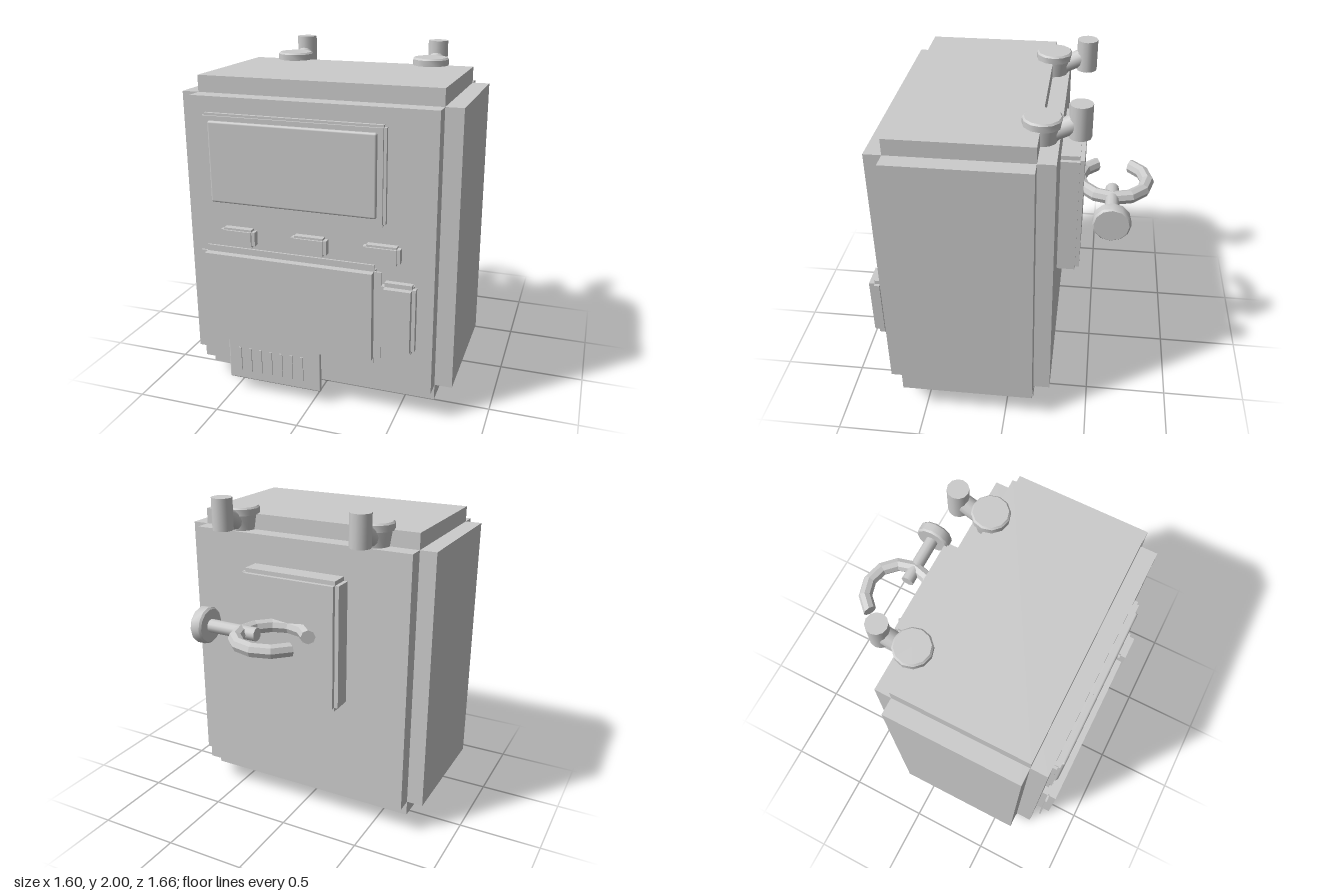
import * as THREE from 'three';
import { toCreasedNormals } from 'three/addons/utils/BufferGeometryUtils.js';
import { RoundedBoxGeometry } from 'three/addons/geometries/RoundedBoxGeometry.js';

const grey = new THREE.MeshStandardMaterial({ color: 0xcccccc });
const greyFlat = new THREE.MeshStandardMaterial({ color: 0xcccccc, flatShading: true });

function add(parent, name, geometry, x = 0, y = 0, z = 0, material = grey) {
  const mesh = new THREE.Mesh(geometry, material);
  mesh.name = name;
  mesh.position.set(x, y, z);
  parent.add(mesh);
  return mesh;
}

// Box with square notches along all edges: three crossed slabs.
// min/max are the outer limits, inset is the notch size on each axis.
function notchedBox(parent, name, min, max, inset) {
  const group = new THREE.Group();
  group.name = name;
  const size = max.map((v, i) => v - min[i]);
  group.position.set(...max.map((v, i) => (v + min[i]) / 2));
  for (let axis = 0; axis < 3; axis++) {
    const s = size.map((v, i) => (i === axis ? v : v - 2 * inset[i]));
    add(group, name + 'Slab', new THREE.BoxGeometry(...s));
  }
  parent.add(group);
  return group;
}

// Turned part with creased edges, from [radius, height] pairs, bottom to top
function turned(points, sides = 12) {
  const profile = points.map(([r, y]) => new THREE.Vector2(r, y));
  return toCreasedNormals(new THREE.LatheGeometry(profile, sides), 0.6);
}

function createTopKnob(side) {
  const group = new THREE.Group();
  group.name = side > 0 ? 'leftTopKnob' : 'rightTopKnob';
  group.position.set(side * 0.44, 0, -0.175);
  add(group, 'knobCap', turned([
    [0, 1.78], [0.085, 1.78], [0.1, 1.87], [0.11, 1.872], [0.11, 1.91], [0.1, 1.92], [0, 1.92],
  ]));
  // Sloping arm from the cap to the upright post
  const arm = add(group, 'knobArm', new THREE.CylinderGeometry(0.052, 0.052, 0.19, 12), 0, 1.86, -0.115);
  arm.rotation.x = -Math.PI / 2 + 0.45;
  add(group, 'knobPost', new THREE.CylinderGeometry(0.062, 0.062, 0.19, 12), 0, 1.905, -0.2);
  return group;
}

// Open ring in the horizontal plane, its gap facing -x
function createHook() {
  const half = THREE.MathUtils.degToRad(150);
  const group = new THREE.Group();
  group.name = 'hook';
  group.position.set(0, 1.285, -0.58);
  const ring = add(group, 'hookRing', new THREE.TorusGeometry(0.204, 0.042, 8, 10, 2 * half), 0, 0, 0, greyFlat);
  ring.rotation.set(Math.PI / 2, 0, -half);
  for (const s of [-1, 1]) {
    const end = add(group, 'hookEnd', new THREE.CircleGeometry(0.042, 8),
      0.204 * Math.cos(half), 0, s * 0.204 * Math.sin(half), greyFlat);
    // Face along the ring's tangent, out into the gap
    end.rotation.y = Math.atan2(-Math.sin(half), s * Math.cos(half));
  }
  // Clamping screw with a round grip
  const rod = add(group, 'screwRod', new THREE.CylinderGeometry(0.04, 0.04, 0.33, 12), 0.265, 0, 0.005);
  rod.rotation.z = -Math.PI / 2;
  const grip = add(group, 'screwGrip', turned([
    [0, 0], [0.1, 0], [0.11, 0.012], [0.11, 0.063], [0.1, 0.075], [0, 0.075],
  ]), 0.416, 0, 0.005);
  grip.rotation.z = -Math.PI / 2;
  return group;
}

export function createModel() {
  const model = new THREE.Group();
  model.name = 'deviceBox';

  // Body
  notchedBox(model, 'body', [-0.8, 0.085, -0.27], [0.8, 1.875, 0.73], [0.1, 0.095, 0.1]);

  // Screen
  notchedBox(model, 'screenFrame', [-0.624, 1.145, 0.715], [0.432, 1.692, 0.763], [0.016, 0.013, 0.012]);
  add(model, 'screen', new RoundedBoxGeometry(0.963, 0.462, 0.05, 2, 0.012), -0.096, 1.422, 0.753);

  // Row of buttons
  for (const x of [-0.426, 0, 0.415]) {
    notchedBox(model, 'button', [x - 0.104, 0.94, 0.725], [x + 0.104, 1.045, 0.782], [0.02, 0.012, 0.01]);
  }

  // Lower front panels
  notchedBox(model, 'lowerPanel', [-0.66, 0.34, 0.725], [0.42, 0.933, 0.82], [0.042, 0.037, 0.042]);
  notchedBox(model, 'sidePanel', [0.424, 0.44, 0.73], [0.615, 0.85, 0.833], [0.02, 0.024, 0.035]);

  // Vent plate with upright bars
  add(model, 'ventPlate', new RoundedBoxGeometry(0.584, 0.275, 0.022, 2, 0.009), -0.239, 0.213, 0.743);
  for (let i = 0; i < 7; i++) {
    add(model, 'ventBar', new THREE.BoxGeometry(0.016, 0.152, 0.02), -0.455 + i * 0.0655, 0.21, 0.751);
  }

  // Foot knob underneath
  add(model, 'footKnob', turned([
    [0, 0], [0.075, 0], [0.086, 0.012], [0.086, 0.065], [0.078, 0.07], [0.078, 0.1], [0, 0.1],
  ]), 0, 0, 0.435);

  // Knobs on the top rear edge
  for (const side of [-1, 1]) model.add(createTopKnob(side));

  // Rear plate and hook
  notchedBox(model, 'rearPlate', [-0.318, 0.802, -0.405], [0.318, 1.602, -0.2], [0.024, 0.025, 0.025]);
  model.add(createHook());

  return model;
}
